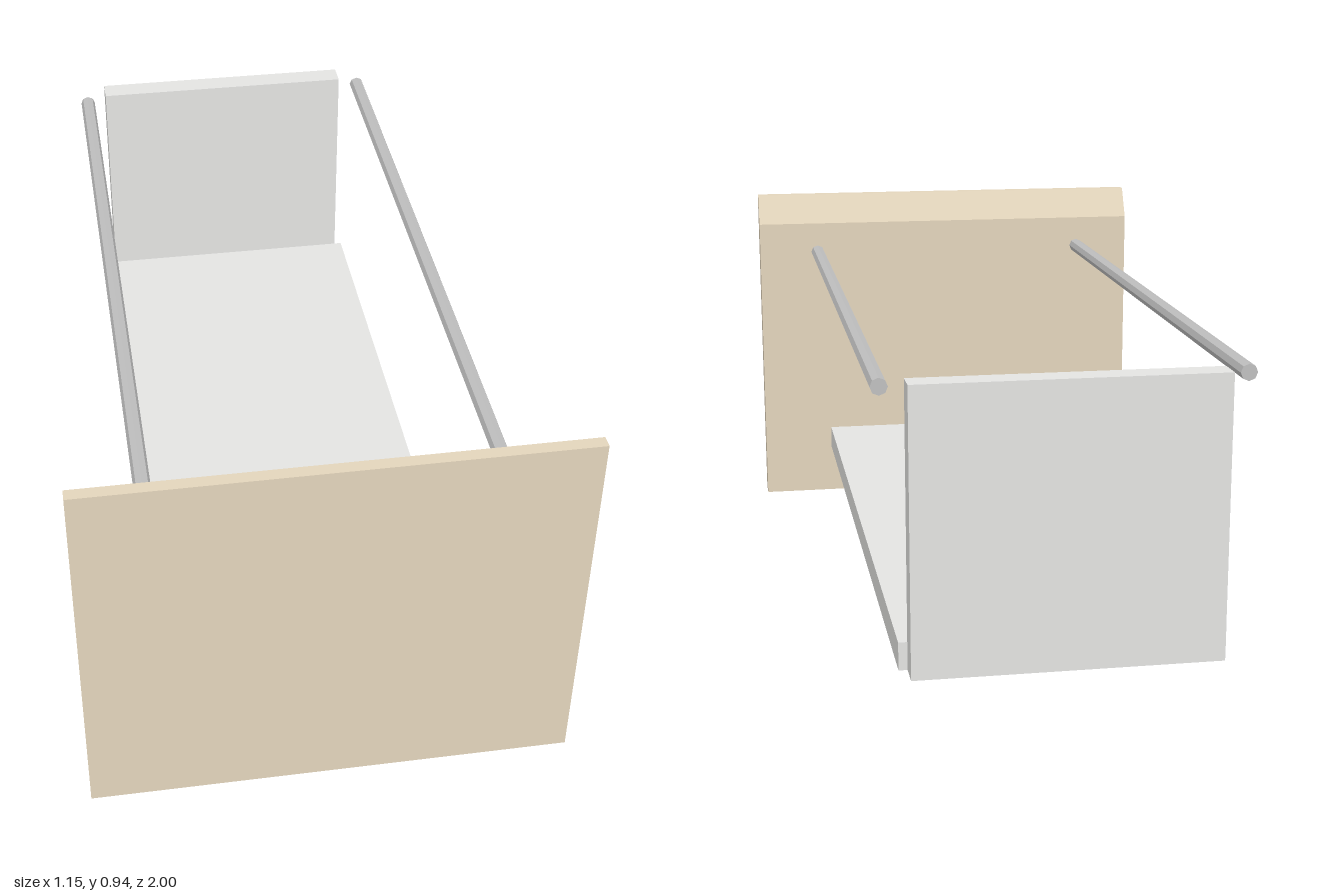
import * as THREE from 'three';

export function createModel() {
  const group = new THREE.Group();
  const material = (name, color) => {
    const m = new THREE.MeshStandardMaterial({ color });
    m.name = name;
    return m;
  };
  const wood = material('beige wood', 0xe3d5bc);
  const board = material('light grey board', 0xe4e4e2);
  const metal = material('grey metal', 0xc0c0c0);

  const add = (name, geometry, mat, x, y, z) => {
    const mesh = new THREE.Mesh(geometry, mat);
    mesh.name = name;
    mesh.position.set(x, y, z);
    group.add(mesh);
  };

  // Front panel: side profile with a bevelled rear top edge, extruded across x.
  // Shape x becomes -z after the quarter turn.
  const width = 1.15;
  const profile = new THREE.Shape([
    [-1, 0], [-0.927, 0], [-0.927, 0.856], [-0.97, 0.94], [-1, 0.94],
  ].map(([x, y]) => new THREE.Vector2(x, y)));
  const panel = new THREE.ExtrudeGeometry(profile, { depth: width, bevelEnabled: false });
  panel.rotateY(Math.PI / 2);
  add('frontPanel', panel, wood, -width / 2, 0, 0);

  // Drawer bottom and back wall
  add('drawerBottom', new THREE.BoxGeometry(0.74, 0.065, 1.864), board, 0, 0.1725, -0.005);
  add('backWall', new THREE.BoxGeometry(0.7, 0.655, 0.063), board, 0, 0.4675, -0.9685);

  // Side rails: faceted rods, made flat by splitting their corners
  const rail = new THREE.CylinderGeometry(0.0195, 0.0195, 1.8, 8).toNonIndexed();
  rail.computeVertexNormals();
  rail.rotateX(Math.PI / 2);
  for (const [name, side] of [['leftRail', 1], ['rightRail', -1]]) {
    add(name, rail, metal, side * 0.403, 0.778, -0.035);
  }
  return group;
}
